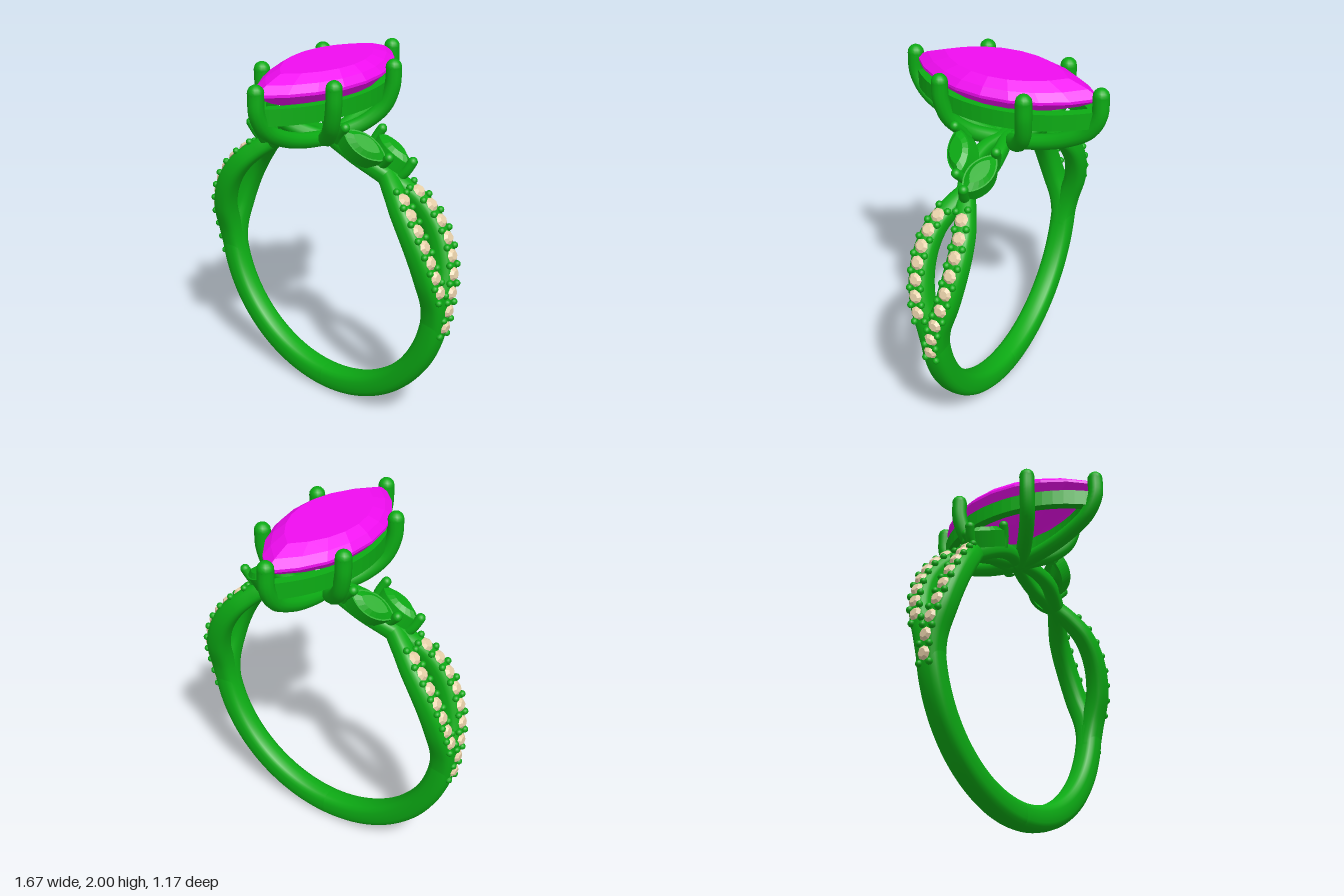
import * as THREE from 'three';

const V = (x, y, z) => new THREE.Vector3(x, y, z);
const metal = new THREE.MeshStandardMaterial({ color: 0x0cab14 });
const metalFlat = new THREE.MeshStandardMaterial({ color: 0x0cab14, flatShading: true });
const gem = new THREE.MeshStandardMaterial({ color: 0xf00cf0, flatShading: true });
const pave = new THREE.MeshStandardMaterial({ color: 0xe6cfa8, flatShading: true });
const CY = 0.83; // centre height of the finger hole

function add(parent, name, geometry, material) {
  const mesh = new THREE.Mesh(geometry, material);
  mesh.name = name;
  parent.add(mesh);
  return mesh;
}

// Smooth interpolation through rows of [angle, value]
function ease(rows, a) {
  if (a <= rows[0][0]) return rows[0][1];
  for (let i = 1; i < rows.length; i++) {
    const [a0, v0] = rows[i - 1], [a1, v1] = rows[i];
    if (a <= a1) {
      const slope = (j) => (j < 1 || j > rows.length - 2) ? 0
        : (rows[j + 1][1] - rows[j - 1][1]) / (rows[j + 1][0] - rows[j - 1][0]);
      const d = a1 - a0, t = (a - a0) / d, s = 1 - t;
      return v0 * (1 + 2 * t) * s * s + v1 * t * t * (3 - 2 * t)
        + d * (slope(i - 1) * t * s * s - slope(i) * t * t * s);
    }
  }
  return rows[rows.length - 1][1];
}

const SWING = [[-14, 0.004], [-2, 0.022], [12, 0.075], [27, 0.098], [40, 0.085], [50, 0.04], [57, 0], [70, -0.05], [80, -0.045], [92, -0.01]];
const RADIUS = [[-90, 0.757], [0, 0.748], [30, 0.745], [57, 0.738], [92, 0.747]];
const DEPTH = [[-90, 0.073], [-14, 0.068], [30, 0.062], [57, 0.05], [92, 0.037]];
const WIDTH = [[-14, 0.062], [30, 0.058], [57, 0.048], [92, 0.036]];

function centreAt(deg, sign) {
  const a = THREE.MathUtils.degToRad(deg), r = ease(RADIUS, deg);
  return V(r * Math.cos(a), CY + r * Math.sin(a), sign * ease(SWING, deg));
}

// Position and axes of a shank strand at an angle
function frameAt(deg, sign) {
  const a = THREE.MathUtils.degToRad(deg);
  const tangent = centreAt(deg + 0.5, sign).sub(centreAt(deg - 0.5, sign)).normalize();
  const out = V(Math.cos(a), Math.sin(a), 0);
  const side = tangent.clone().cross(out).normalize();
  out.crossVectors(side, tangent).normalize();
  return { pos: centreAt(deg, sign), tangent, out, side };
}

// Rounded-square section carried around the shank
function shank(from, to, steps, sign, width) {
  const N = 20, pos = [], idx = [];
  const power = (c) => Math.sign(c) * Math.pow(Math.abs(c), 0.75);
  for (let i = 0; i <= steps; i++) {
    const deg = from + (to - from) * i / steps, f = frameAt(deg, sign);
    const h = ease(DEPTH, deg < -90 ? -180 - deg : deg);
    for (let j = 0; j < N; j++) {
      const t = j / N * Math.PI * 2;
      const p = f.pos.clone().addScaledVector(f.out, h * power(Math.cos(t)))
        .addScaledVector(f.side, width(deg) * power(Math.sin(t)));
      pos.push(p.x, p.y, p.z);
      if (i < steps) {
        const a = i * N + j, b = i * N + (j + 1) % N;
        idx.push(a, a + N, b, b, a + N, b + N);
      }
    }
  }
  const g = new THREE.BufferGeometry();
  g.setAttribute('position', new THREE.Float32BufferAttribute(pos, 3));
  // Face the triangles outward from the section centre
  const A = V(...pos.slice(0, 3)), B = V(...pos.slice(N * 3, N * 3 + 3)), C = V(...pos.slice(3, 6));
  if (B.sub(A).cross(C.sub(A)).dot(frameAt(from, sign).out) < 0) idx.reverse();
  g.setIndex(idx);
  g.computeVertexNormals();
  return g;
}

// Pointed-oval outline from two arcs; long axis on the second coordinate
function marquise(halfLength, halfWidth, n) {
  const R = (halfLength ** 2 + halfWidth ** 2) / (2 * halfWidth), A = Math.asin(halfLength / R), pts = [];
  for (let s = 1; s >= -1; s -= 2) for (let i = 0; i < n; i++) {
    const a = -A + 2 * A * i / n;
    pts.push(new THREE.Vector2(s * (R * Math.cos(a) - R + halfWidth), s * R * Math.sin(a)));
  }
  return pts;
}

// Cut stone: outline loops of [scale, height], closed at top and bottom
function cutStone(outline, loops) {
  const n = outline.length, pos = [], idx = [];
  for (const [s, y] of loops) for (const p of outline) pos.push(p.x * s, y, p.y * s);
  for (let i = 0; i < loops.length - 1; i++) for (let j = 0; j < n; j++) {
    const a = i * n + j, b = i * n + (j + 1) % n;
    idx.push(a, b, a + n, b, b + n, a + n);
  }
  const top = pos.length / 3;
  pos.push(0, loops[0][1], 0);
  for (let j = 0; j < n; j++) idx.push(top, (j + 1) % n, j);
  // Outline runs from +x towards +z, so flip the side walls to face out
  for (let k = 0; k < (loops.length - 1) * n * 6; k += 3) {
    const [a, b, c] = [idx[k], idx[k + 1], idx[k + 2]].map((v) => V(...pos.slice(v * 3, v * 3 + 3)));
    const normal = b.clone().sub(a).cross(c.clone().sub(a));
    const mid = a.add(b).add(c).divideScalar(3).sub(V(0, (loops[0][1] + loops.at(-1)[1]) / 2, 0));
    if (normal.dot(mid) < 0) [idx[k + 1], idx[k + 2]] = [idx[k + 2], idx[k + 1]];
  }
  const g = new THREE.BufferGeometry();
  g.setAttribute('position', new THREE.Float32BufferAttribute(pos, 3));
  g.setIndex(idx);
  const flat = g.toNonIndexed();
  flat.computeVertexNormals();
  return flat;
}

// Upright wall following a pointed oval
function rim(length, width, wall, height) {
  const shape = new THREE.Shape(marquise(length, width, 20));
  shape.holes.push(new THREE.Path(marquise(length - wall * 1.4, width - wall, 20)));
  return new THREE.ExtrudeGeometry(shape, { depth: height, bevelEnabled: false }).rotateX(-Math.PI / 2);
}

// Round claw along a path, with a ball tip on the first point
function claw(parent, name, points, r) {
  const g = new THREE.Group();
  g.name = name;
  add(g, name + 'Wire', new THREE.TubeGeometry(new THREE.CatmullRomCurve3(points), 28, r, 12), metal);
  add(g, name + 'Tip', new THREE.SphereGeometry(r, 14, 10), metal).position.copy(points[0]);
  parent.add(g);
}

// Small pointed-oval stone in a rim with a claw at each end
function sideStone(name, low, high, up) {
  const g = new THREE.Group(), half = low.distanceTo(high) / 2, w = 0.068;
  g.name = name;
  const z = high.clone().sub(low).normalize(), x = up.clone().cross(z).normalize();
  g.applyMatrix4(new THREE.Matrix4().makeBasis(x, z.clone().cross(x), z));
  g.position.copy(low).add(high).multiplyScalar(0.5);
  add(g, 'sideRim', rim(half, w, 0.018, 0.09), metal).position.y = -0.09;
  add(g, 'sideGem', cutStone(marquise(half * 0.93, w * 0.9, 8), [[0.65, 0.022], [1, 0], [0.8, -0.04], [0.01, -0.085]]), metalFlat);
  for (const s of [1, -1]) claw(g, 'sideClaw', [V(0, 0.025, s * half), V(0, -0.04, s * half), V(0, -0.1, s * half * 0.9)], 0.026);
  return g;
}

function buildSide() {
  const g = new THREE.Group();
  g.name = 'shoulder';
  const stoneGeo = new THREE.CylinderGeometry(0.022, 0.038, 0.016, 8);
  const beadGeo = new THREE.SphereGeometry(0.019, 10, 8);
  // Each strand: first stone angle, spacing, count
  for (const [sign, first, step, count] of [[-1, -9.5, 6.8, 9], [1, 7, 6.2, 7]]) {
    add(g, 'strand', shank(-14, 92, 70, sign, (d) => ease(WIDTH, d)), metal);
    const onSurface = (mesh, deg, across, lift) => {
      const f = frameAt(deg, sign);
      mesh.quaternion.setFromRotationMatrix(new THREE.Matrix4().makeBasis(f.side, f.out, f.side.clone().cross(f.out)));
      mesh.position.copy(f.pos).addScaledVector(f.out, ease(DEPTH, deg) + lift).addScaledVector(f.side, across);
    };
    for (let i = 0; i <= count; i++) {
      const deg = first + i * step;
      if (i < count) onSurface(add(g, 'paveStone', stoneGeo, pave), deg, 0, 0.007);
      for (const s of [1, -1]) onSurface(add(g, 'paveBead', beadGeo, metal), deg - step / 2, s * 0.032, -0.001);
    }
  }
  g.add(sideStone('upperSideStone', V(0.42, 1.55, 0.03), V(0.23, 1.70, 0.15), V(0.6, 0.75, 0.25)));
  g.add(sideStone('lowerSideStone', V(0.51, 1.52, -0.05), V(0.27, 1.63, -0.10), V(0.4, 0.85, -0.25)));
  return g;
}

export function createModel() {
  const ring = new THREE.Group();
  ring.name = 'ring';

  // Plain lower band
  const lower = shank(-90, -3, 40, 0, () => 0.07);
  add(ring, 'lowerBandLeft', lower, metal);
  add(ring, 'lowerBandRight', lower, metal).rotation.y = Math.PI;

  // Split, twisted shoulders, alike under a half turn
  const left = buildSide(), right = left.clone();
  left.name = 'leftShoulder';
  right.name = 'rightShoulder';
  right.rotation.y = Math.PI;
  ring.add(left, right);

  // Centre stone and its open gallery rail
  add(ring, 'centreStone', cutStone(marquise(0.53, 0.255, 8),
    [[0.68, 2], [0.88, 1.965], [1, 1.93], [1, 1.915], [0.8, 1.86], [0.38, 1.775], [0.01, 1.705]]), gem);
  add(ring, 'galleryRail', rim(0.54, 0.24, 0.05, 0.09), metal).position.y = 1.77;

  // Six claws meeting on top of the shank
  for (const s of [1, -1]) {
    claw(ring, 'endClaw', [V(0, 1.945, s * 0.54), V(0, 1.83, s * 0.535), V(0, 1.73, s * 0.475),
      V(0, 1.65, s * 0.34), V(0, 1.6, s * 0.19), V(0, 1.565, 0)], 0.043);
    for (const t of [1, -1]) claw(ring, 'sideClaw', [V(t * 0.245, 1.945, s * 0.24), V(t * 0.24, 1.84, s * 0.238),
      V(t * 0.205, 1.73, s * 0.215), V(t * 0.13, 1.64, s * 0.15), V(0, 1.565, s * 0.03)], 0.043);
  }
  return ring;
}
